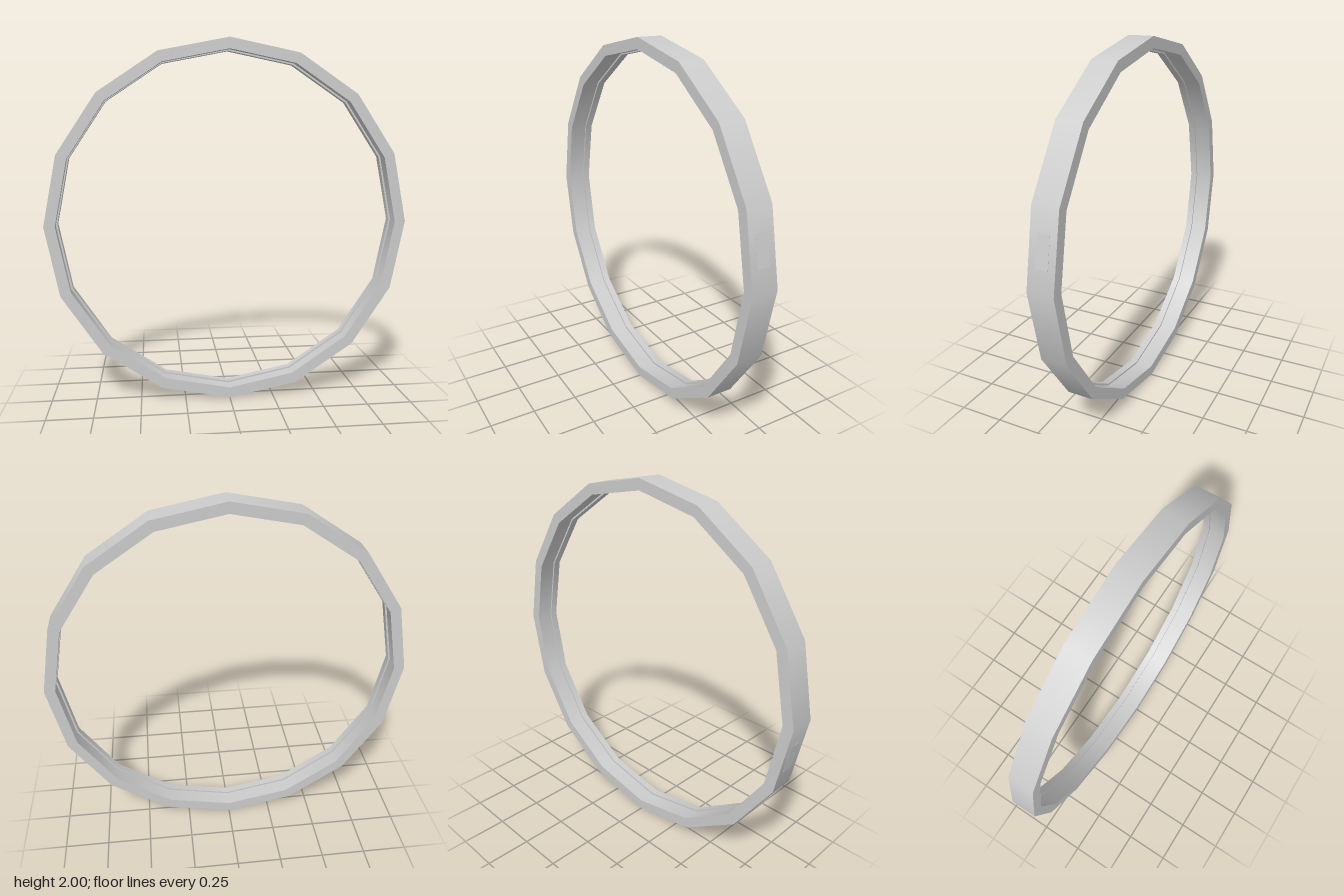
import * as THREE from 'three';
import { mergeGeometries } from 'three/addons/utils/BufferGeometryUtils.js';

const SIDES = 16, OUTER = 1, INNER = 0.94, HALF = 0.07;
const GROOVE_HALF = 0.03, GROOVE_RADIUS = 0.95;

export function createModel() {
  const group = new THREE.Group();
  const material = new THREE.MeshStandardMaterial({ color: 0xcccccc });

  // Ring section as (radius, depth), counter-clockwise, with a shallow groove inside
  const section = [
    [OUTER, -HALF], [OUTER, HALF], [INNER, HALF],
    [INNER, GROOVE_HALF], [GROOVE_RADIUS, GROOVE_HALF],
    [GROOVE_RADIUS, -GROOVE_HALF], [INNER, -GROOVE_HALF], [INNER, -HALF],
  ].map(([r, d]) => new THREE.Vector2(r, d));

  // One lathed band per section edge: sharp rims, smooth shading around the ring
  const bands = section.map((p, i) =>
    new THREE.LatheGeometry([p, section[(i + 1) % section.length]], SIDES));
  const ring = new THREE.Mesh(mergeGeometries(bands).rotateX(Math.PI / 2), material);
  ring.name = 'ring';
  ring.position.y = OUTER;
  group.add(ring);

  // Small flush plates on two opposite outer facets
  const apothem = OUTER * Math.cos(Math.PI / SIDES);
  [['rightPlate', Math.PI], ['leftPlate', 0]].forEach(([name, turn]) => {
    const angle = turn + Math.PI / SIDES;
    const plate = new THREE.Mesh(new THREE.BoxGeometry(0.01, 0.16, 0.065), material);
    plate.name = name;
    plate.position.set(Math.cos(angle) * (apothem - 0.004), OUTER + Math.sin(angle) * (apothem - 0.004), 0);
    plate.rotation.z = angle;
    group.add(plate);
  });

  return group;
}
